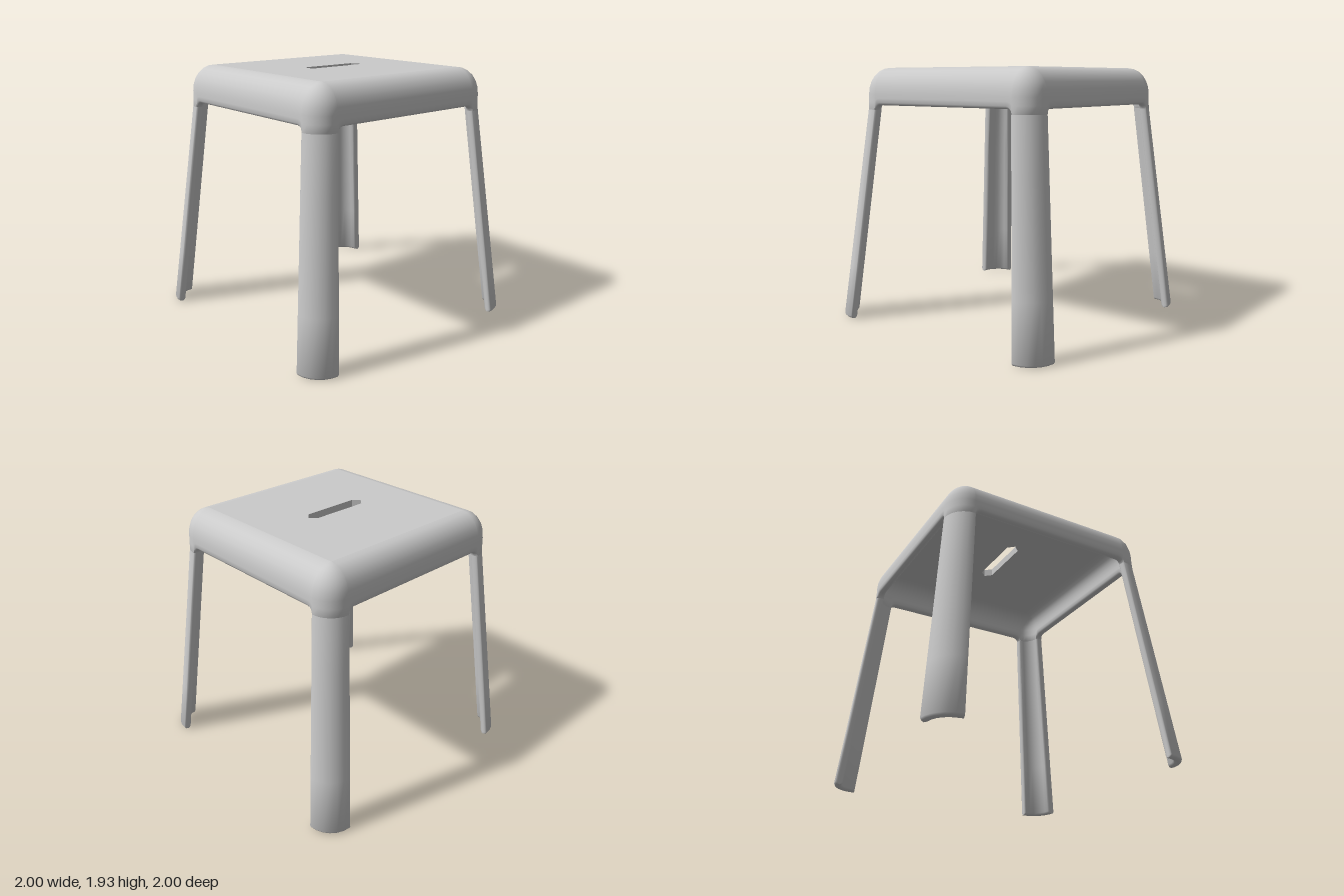
import * as THREE from 'three';
import { toCreasedNormals } from 'three/addons/utils/BufferGeometryUtils.js';

const T = 0.06;            // wall thickness
const LIP = 0.02;          // height of the rounded lower edge
const SPLIT = 1.6;         // where the legs join the seat rim
const SHOULDER = 1.735;    // where the rim starts to bend into the seat
const TOP = 1.935;
const ARC = 6;             // segments around each corner
const QUARTER = Math.PI / 2;

const lerp = THREE.MathUtils.lerp;
const taper = (y, end) => THREE.MathUtils.clamp((y - 0.02) / (end - 0.02), 0, 1);
const centre = (y) => lerp(0.8, 0.66, taper(y, 1.64));         // corner arc centre
const radius = (y) => lerp(0.2, 0.165, taper(y, SHOULDER));    // corner arc radius

// Skin a grid of points: columns run round the stool, rows run along each wall profile
function skin(columns) {
  const pos = [];
  const tri = (a, b, c) => {
    if (new THREE.Triangle(a, b, c).getArea() > 1e-9) pos.push(...a, ...b, ...c);
  };
  for (let i = 0; i < columns.length - 1; i++) {
    const p = columns[i], q = columns[i + 1];
    for (let j = 0; j < p.length - 1; j++) {
      tri(p[j], p[j + 1], q[j]);
      tri(q[j], p[j + 1], q[j + 1]);
    }
  }
  const g = new THREE.BufferGeometry();
  g.setAttribute('position', new THREE.Float32BufferAttribute(pos, 3));
  return toCreasedNormals(g, 0.9);
}

// Wall profile as [distance from arc centre, height]: down the inside, round the lip, up the outside
function wallProfile(y0, inset, side) {
  const lip = [1, 2, 3].map((k) => {
    const a = (k / 4) * Math.PI;
    const rho = radius(y0) - T / 2 - (T / 2 - inset) * Math.cos(a);
    return [rho, y0 + LIP * (1 - Math.sin(a))];
  });
  return [...side(T - inset).reverse(), ...lip, ...side(inset)];
}

// Point on a rounded corner, optionally pushed along the tangent
function cornerPoint(theta, rho, y, push = 0) {
  const c = centre(y), cos = Math.cos(theta), sin = Math.sin(theta);
  return new THREE.Vector3(c + rho * cos - push * sin, y, c + rho * sin + push * cos);
}

// One hollow quarter-round leg with rounded side edges
function legGeometry() {
  const column = (theta, inset, push) => wallProfile(0, inset, (offset) =>
    [0, 0.25, 0.5, 0.75, 1].map((t) => {
      const y = lerp(LIP, SPLIT + LIP, t);
      return [radius(y) - offset, y];
    })).map(([rho, y]) => cornerPoint(theta, rho, y, push));
  const edge = (theta, sign, k) => {
    const a = (k / 3) * QUARTER;
    return column(theta, (T / 2) * (1 - Math.cos(a)), sign * 0.012 * Math.sin(a));
  };
  const cols = [3, 2, 1].map((k) => edge(0, -1, k));
  for (let i = 0; i <= ARC; i++) cols.push(column((i / ARC) * QUARTER, 0, 0));
  cols.push(...[1, 2, 3].map((k) => edge(QUARTER, 1, k)));
  return skin(cols);
}

// Rim wall from its lower edge, over the shoulder, to seat level
function rimProfile(y0) {
  return wallProfile(y0, 0, (offset) => {
    const pts = [y0 + LIP, (y0 + LIP + SHOULDER) / 2].map((y) => [radius(y) - offset, y]);
    for (let k = 0; k <= 6; k++) {
      const a = (k / 6) * QUARTER;
      pts.push([(0.165 - offset) * Math.cos(a), SHOULDER + (TOP - SHOULDER - offset) * Math.sin(a)]);
    }
    return pts;
  });
}

// Continuous rim: four round corners joined by side panels with filleted lower corners
function rimGeometry() {
  const quarter = [];
  for (let i = 0; i <= ARC; i++) {
    const theta = (i / ARC) * QUARTER;
    quarter.push(rimProfile(SPLIT).map(([rho, y]) => cornerPoint(theta, rho, y)));
  }
  const fillet = (side, k) => {
    const a = (k / 4) * QUARTER;
    const d = 0.05 * (1 - Math.cos(a));
    quarter.push(rimProfile(SPLIT + 0.055 * Math.sin(a)).map(([rho, y]) =>
      new THREE.Vector3(side * (centre(y) - d), y, centre(y) + rho)));
  };
  for (let k = 1; k <= 4; k++) fillet(1, k);
  for (let k = 4; k >= 1; k--) fillet(-1, k);

  const cols = [];
  for (let n = 0; n < 4; n++) {
    for (const col of quarter) {
      cols.push(col.map((p) => {
        const v = p.clone();
        for (let r = 0; r < n; r++) v.set(-v.z, v.y, v.x);
        return v;
      }));
    }
  }
  cols.push(cols[0]);
  return skin(cols);
}

// Flat seat panel with the hand slot
function seatGeometry() {
  const h = 0.66;
  const points = (list) => list.map(([x, y]) => new THREE.Vector2(x, y));
  const shape = new THREE.Shape(points([[-h, -h], [h, -h], [h, h], [-h, h]]));
  shape.holes.push(new THREE.Path(points([
    [-0.265, 0], [-0.22, 0.05], [0.22, 0.05], [0.265, 0], [0.22, -0.05], [-0.22, -0.05],
  ])));
  return new THREE.ExtrudeGeometry(shape, { depth: T, bevelEnabled: false })
    .rotateX(-QUARTER).translate(0, TOP - T, 0);
}

export function createModel() {
  const stool = new THREE.Group();
  stool.name = 'stool';
  const material = new THREE.MeshStandardMaterial({ color: 0xcccccc });
  const add = (name, geometry) => {
    const mesh = new THREE.Mesh(geometry, material);
    mesh.name = name;
    stool.add(mesh);
    return mesh;
  };

  add('seatPanel', seatGeometry());
  add('seatRim', rimGeometry());

  const leg = legGeometry();
  ['frontLeftLeg', 'backLeftLeg', 'backRightLeg', 'frontRightLeg'].forEach((name, i) => {
    add(name, leg).rotation.y = i * QUARTER;
  });
  return stool;
}
